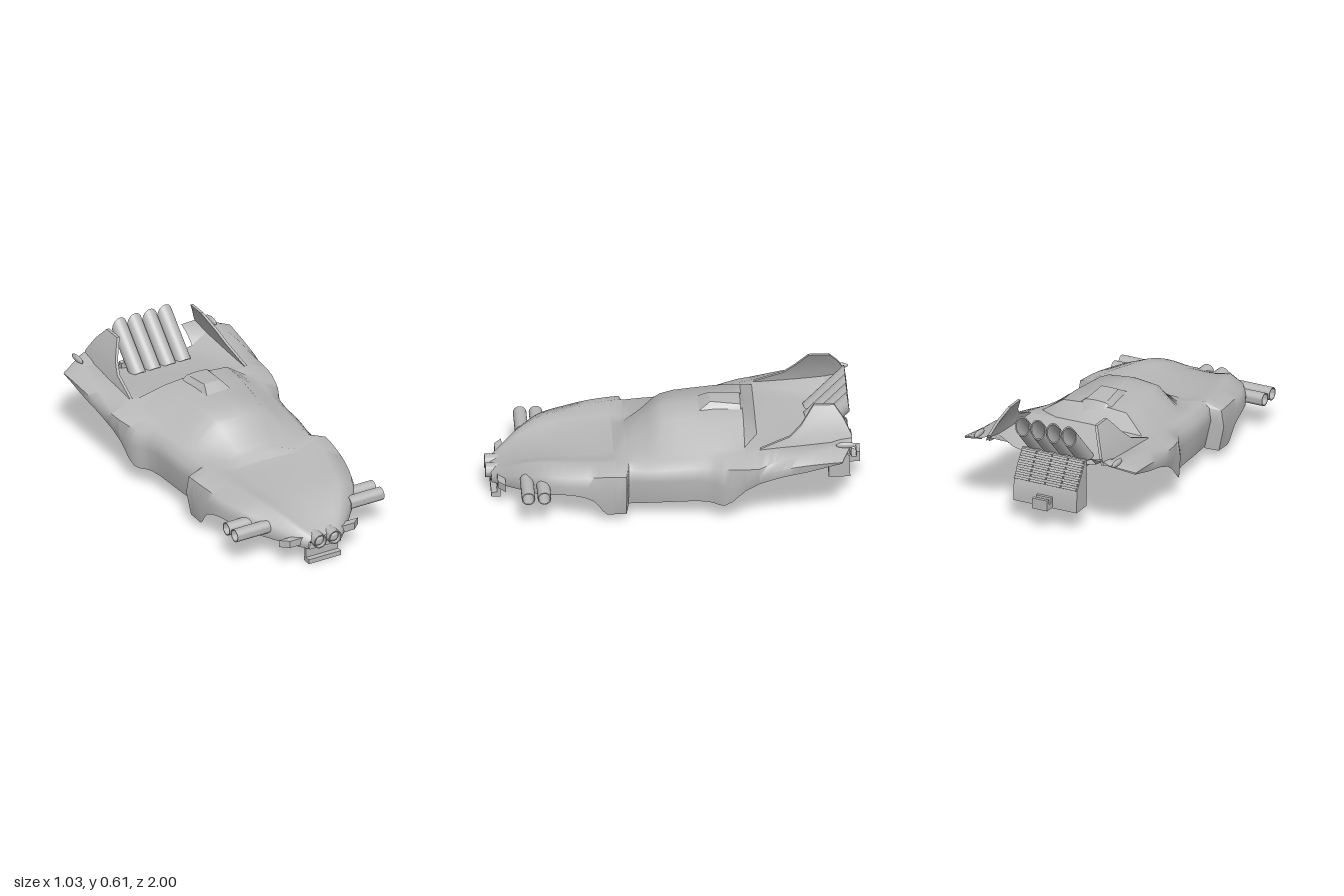
import * as THREE from 'three';
import { toCreasedNormals } from 'three/addons/utils/BufferGeometryUtils.js';

const grey = new THREE.MeshStandardMaterial({ color: 0xb8b8b8, side: THREE.DoubleSide });
grey.name = 'body grey';

export function createModel() {
  const model = new THREE.Group();

  function add(name, geometry, crease = 0.6) {
    const mesh = new THREE.Mesh(toCreasedNormals(geometry, crease), grey);
    mesh.name = name;
    model.add(mesh);
    return mesh;
  }

  // Skin over sections [z, x, y, x, y, ...] ordered front to back
  function loft(sections, { mirror = false, side = 1, steps = 3 } = {}) {
    const rails = [];
    for (let k = 1; k < sections[0].length; k += 2) {
      const pts = sections.map(s => new THREE.Vector3(s[k] * side, s[k + 1], s[0]));
      rails.push(new THREE.CatmullRomCurve3(pts, false, 'centripetal'));
    }
    const rows = (sections.length - 1) * steps, pos = [], index = [];
    let cols = 0;
    for (let i = 0; i <= rows; i++) {
      const half = rails.map(r => r.getPoint(i / rows));
      const left = half.slice(mirror ? 1 : 0).reverse().map(p => new THREE.Vector3(-p.x, p.y, p.z));
      const row = mirror ? [...left, ...half] : half;
      cols = row.length;
      row.forEach(p => pos.push(p.x, p.y, p.z));
    }
    for (let i = 0; i < rows; i++) for (let j = 0; j < cols - 1; j++) {
      const a = i * cols + j, b = a + 1, c = a + cols, d = c + 1;
      if (side > 0) index.push(a, b, c, b, d, c);
      else index.push(a, c, b, b, c, d);
    }
    const g = new THREE.BufferGeometry();
    g.setAttribute('position', new THREE.Float32BufferAttribute(pos, 3));
    g.setIndex(index);
    g.computeVertexNormals();
    return g;
  }

  // Hollow pipe between two points; cut slants the far end
  function pipe(name, from, to, r, cut = 0) {
    const a = new THREE.Vector3(...from), dir = new THREE.Vector3(...to).sub(a), len = dir.length();
    const profile = [[r, 0], [r, len], [r * 0.85, len], [r * 0.85, 0], [r, 0]].map(p => new THREE.Vector2(...p));
    const geometry = new THREE.LatheGeometry(profile, 24);
    const p = geometry.attributes.position;
    for (let i = 0; i < p.count; i++) if (p.getY(i) > len / 2) p.setY(i, len + cut * p.getZ(i));
    const mesh = add(name, geometry);
    mesh.position.copy(a);
    mesh.quaternion.setFromUnitVectors(new THREE.Vector3(0, 1, 0), dir.normalize());
  }

  // Side profile of (z, y) points, extruded across the width
  function sideExtrude(points, width) {
    const shape = new THREE.Shape(points.map(p => new THREE.Vector2(...p)));
    return new THREE.ExtrudeGeometry(shape, { depth: width, bevelEnabled: false })
      .rotateY(-Math.PI / 2).translate(width / 2, 0, 0);
  }

  function box(name, w, h, d, x, y, z) {
    const mesh = add(name, new THREE.BoxGeometry(w, h, d));
    mesh.position.set(x, y, z);
    return mesh;
  }

  // Closed nose face
  add('noseFace', loft([
    [0.972, 0, 0.088, 0.04, 0.088, 0.065, 0.088, 0.08, 0.088, 0.095, 0.088],
    [0.97, 0, 0.15, 0.04, 0.155, 0.065, 0.155, 0.08, 0.145, 0.1, 0.1],
  ], { mirror: true, steps: 1 }));

  // Hood dished between the two front fender ridges
  add('hood', loft([
    [0.97, 0, 0.15, 0.04, 0.155, 0.065, 0.155, 0.08, 0.145, 0.1, 0.13, 0.105, 0.11, 0.095, 0.088],
    [0.9, 0, 0.182, 0.06, 0.184, 0.1, 0.19, 0.13, 0.193, 0.165, 0.165, 0.178, 0.13, 0.168, 0.105],
    [0.81, 0, 0.222, 0.09, 0.222, 0.14, 0.235, 0.19, 0.248, 0.25, 0.21, 0.262, 0.16, 0.252, 0.125],
    [0.7, 0, 0.252, 0.12, 0.252, 0.18, 0.27, 0.24, 0.285, 0.33, 0.25, 0.345, 0.2, 0.34, 0.145],
    [0.55, 0, 0.27, 0.14, 0.27, 0.21, 0.282, 0.28, 0.3, 0.385, 0.265, 0.4, 0.22, 0.4, 0.17],
    [0.44, 0, 0.278, 0.15, 0.279, 0.22, 0.288, 0.31, 0.31, 0.405, 0.28, 0.42, 0.22, 0.415, 0.14],
    [0.37, 0, 0.283, 0.15, 0.284, 0.23, 0.292, 0.32, 0.317, 0.415, 0.285, 0.43, 0.2, 0.41, 0.055],
    [0.32, 0, 0.292, 0.15, 0.288, 0.23, 0.296, 0.325, 0.322, 0.42, 0.288, 0.435, 0.2, 0.41, 0.055],
  ], { mirror: true }), 1);

  // Windshield base and the step behind the wheel arch
  add('cowl', loft([
    [0.32, 0, 0.292, 0.15, 0.288, 0.23, 0.296, 0.325, 0.322, 0.42, 0.288, 0.435, 0.2, 0.41, 0.055],
    [0.265, 0, 0.328, 0.1, 0.32, 0.18, 0.3, 0.33, 0.327, 0.425, 0.29, 0.44, 0.2, 0.41, 0.055],
    [0.25, 0, 0.34, 0.1, 0.33, 0.18, 0.303, 0.32, 0.328, 0.36, 0.3, 0.37, 0.23, 0.33, 0.06],
  ], { mirror: true, steps: 1 }), 1);

  // Cabin with canopy and inward-leaning door sides
  add('cabin', loft([
    [0.25, 0, 0.34, 0.1, 0.33, 0.18, 0.303, 0.32, 0.328, 0.36, 0.3, 0.37, 0.23, 0.335, 0.075],
    [0.16, 0, 0.41, 0.125, 0.39, 0.23, 0.32, 0.33, 0.33, 0.375, 0.29, 0.382, 0.23, 0.352, 0.085],
    [0.06, 0, 0.48, 0.145, 0.465, 0.265, 0.342, 0.335, 0.334, 0.385, 0.3, 0.393, 0.235, 0.367, 0.095],
    [-0.17, 0, 0.49, 0.18, 0.48, 0.303, 0.368, 0.35, 0.352, 0.4, 0.315, 0.41, 0.24, 0.395, 0.109],
    [-0.26, 0, 0.495, 0.19, 0.482, 0.312, 0.38, 0.355, 0.368, 0.443, 0.33, 0.457, 0.23, 0.448, 0.112],
    [-0.37, 0, 0.495, 0.19, 0.48, 0.318, 0.392, 0.365, 0.388, 0.475, 0.345, 0.48, 0.28, 0.465, 0.21],
  ], { mirror: true }), 1);

  // Sloping rear window between the roof and the deck
  add('rearWindow', loft([
    [-0.37, 0, 0.495, 0.19, 0.48, 0.318, 0.392, 0.365, 0.388, 0.475, 0.345, 0.48, 0.28, 0.465, 0.21],
    [-0.44, 0, 0.405, 0.2, 0.403, 0.32, 0.4, 0.37, 0.4, 0.483, 0.352, 0.488, 0.3, 0.475, 0.255],
  ], { mirror: true, steps: 1 }));

  // Rear deck and rear fenders
  add('rearDeck', loft([
    [-0.44, 0, 0.405, 0.2, 0.403, 0.32, 0.4, 0.37, 0.4, 0.483, 0.352, 0.488, 0.3, 0.475, 0.255],
    [-0.56, 0, 0.388, 0.2, 0.388, 0.3, 0.39, 0.36, 0.41, 0.46, 0.39, 0.496, 0.35, 0.488, 0.3],
    [-0.7, 0, 0.372, 0.2, 0.372, 0.28, 0.38, 0.35, 0.42, 0.45, 0.42, 0.505, 0.378, 0.498, 0.335],
    [-0.83, 0, 0.36, 0.18, 0.36, 0.25, 0.375, 0.34, 0.43, 0.43, 0.435, 0.513, 0.395, 0.507, 0.375],
  ], { mirror: true }), 1);

  // Roof scoop
  add('roofScoop', loft([
    [-0.14, 0, 0.492, 0.07, 0.49, 0.08, 0.486],
    [-0.2, 0, 0.525, 0.05, 0.523, 0.075, 0.486],
    [-0.36, 0, 0.512, 0.06, 0.508, 0.1, 0.48],
    [-0.43, 0, 0.412, 0.06, 0.41, 0.1, 0.4],
  ], { mirror: true, steps: 1 }), 0.4);

  // Fins are curved sheets whose lean depends only on height; outline is z, base y, tip y
  const finX = y => 0.35 - 0.21 * (y - 0.39) - 1.04 * (y - 0.39) ** 2;
  const finSections = [
    [-0.45, 0.385, 0.405], [-0.61, 0.4, 0.465], [-0.67, 0.405, 0.52], [-0.74, 0.405, 0.612],
    [-0.85, 0.41, 0.612], [-0.9, 0.42, 0.545], [-0.94, 0.43, 0.465],
  ].map(([z, base, tip]) => {
    const heights = [0, 0.33, 0.67, 1].map(t => base + (tip - base) * t);
    const inner = heights.flatMap(y => [finX(y), y]);
    const outer = heights.reverse().flatMap(y => [finX(y) + 0.016, y]);
    return [z, ...inner, ...outer];
  });

  for (const s of [1, -1]) {
    const label = s > 0 ? 'left' : 'right';
    add(label + 'Fin', loft(finSections, { side: s, steps: 1 }));

    // Fender tip behind the deck
    add(label + 'FenderTip', loft([
      [-0.83, 0.25, 0.375, 0.34, 0.43, 0.43, 0.435, 0.513, 0.395, 0.507, 0.375],
      [-0.88, 0.25, 0.42, 0.35, 0.445, 0.42, 0.438, 0.517, 0.4, 0.512, 0.39],
      [-0.94, 0.25, 0.45, 0.34, 0.453, 0.36, 0.45, 0.38, 0.44, 0.38, 0.435],
    ], { side: s, steps: 1 }), 1);

    // Pointed tail marker
    const spike = add(label + 'TailSpike', new THREE.SphereGeometry(1, 12, 8));
    spike.scale.set(0.013, 0.018, 0.055);
    spike.position.set(s * 0.415, 0.447, -0.905);

    // Side-facing tubes on the front fender
    for (const z of [0.79, 0.705]) {
      pipe(label + 'SideTube', [s * 0.25, 0.188, z], [s * 0.455, 0.188, z], 0.036);
    }

    // Round nose lamp: housing with a domed lens
    pipe(label + 'NoseLampHousing', [s * 0.046, 0.135, 0.92], [s * 0.046, 0.135, 1], 0.039);
    const dome = add(label + 'NoseLampLens', new THREE.SphereGeometry(0.034, 24, 12));
    dome.position.set(s * 0.046, 0.135, 0.964);

    // Slanted marker lamp beside the nose
    const plan = [[0.1, -0.94], [0.2, -0.94], [0.245, -0.9], [0.1, -0.9]];
    const shape = new THREE.Shape(plan.map(([x, y]) => new THREE.Vector2(s * x, y)));
    const marker = add(label + 'MarkerLamp',
      new THREE.ExtrudeGeometry(shape, { depth: 0.04, bevelEnabled: false }).rotateX(-Math.PI / 2));
    marker.position.y = 0.112;
  }

  // Plate under the nose, with a forward lip
  box('nosePlate', 0.2, 0.06, 0.018, 0, 0.055, 0.93);
  box('nosePlateLip', 0.2, 0.026, 0.05, 0, 0.013, 0.945);

  // Four exhaust stacks with near-upright rear mouths
  for (const x of [-0.14, -0.047, 0.047, 0.14]) {
    pipe('exhaustStack', [x, 0.35, -0.735], [x, 0.554, -0.931], 0.044, 0.8);
  }

  // Engine box with louvres down its sloping back
  add('engineBox', sideExtrude([[-0.825, 0.12], [-0.825, 0.39], [-0.84, 0.39], [-0.935, 0.24], [-0.94, 0.12]], 0.38));
  for (let i = 0; i < 7; i++) {
    const t = (i + 0.5) / 7;
    for (let j = 0; j < 4; j++) {
      const slat = box('louvre', 0.088, 0.014, 0.022, (j - 1.5) * 0.095, 0.39 - 0.15 * t, -0.842 - 0.095 * t);
      slat.rotation.x = 0.5;
    }
  }

  // Hitch behind the engine box
  add('hitch', sideExtrude([[-0.93, 0.125], [-0.93, 0.185], [-0.955, 0.185], [-0.955, 0.155],
    [-0.98, 0.155], [-0.98, 0.185], [-1, 0.185], [-1, 0.125]], 0.09));

  return model;
}
